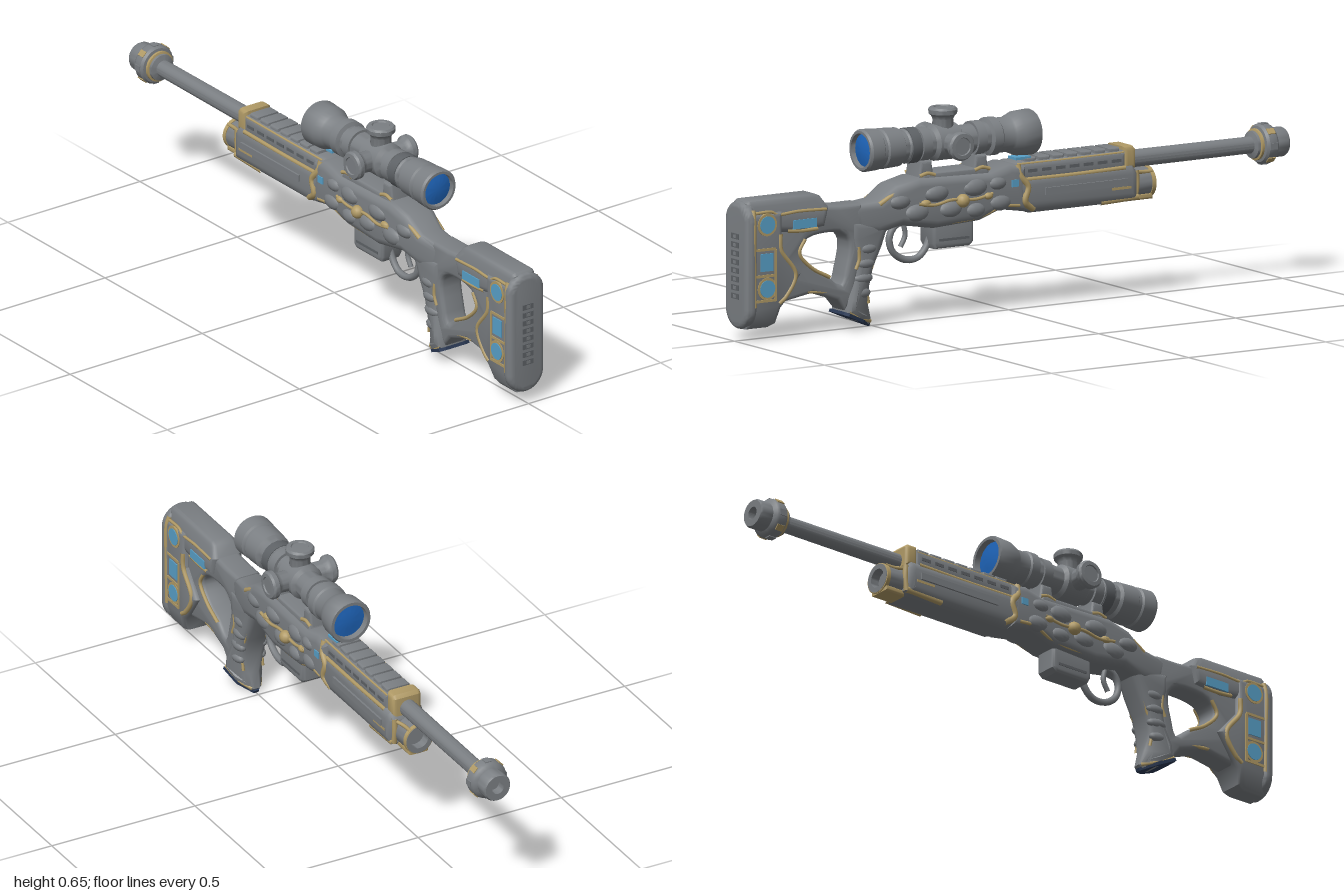
import * as THREE from 'three';
import { toCreasedNormals } from 'three/addons/utils/BufferGeometryUtils.js';

const mat = (name, color) => Object.assign(new THREE.MeshStandardMaterial({ color }), { name });

export function createModel() {
  const g = new THREE.Group();
  g.name = 'scopedRifle';
  const grey = mat('gunmetal', 0x7b7f83), dark = mat('darkMetal', 0x5e6266), gold = mat('wornBrass', 0xb09a66);
  const blue = mat('panelBlue', 0x58a0c8), lens = mat('lensBlue', 0x1f66bc), navy = mat('navy', 0x2b3a55);

  const add = (name, geo, m) => {
    const mesh = new THREE.Mesh(geo, m);
    mesh.name = name;
    g.add(mesh);
    return mesh;
  };
  const shapeOf = pts => new THREE.Shape(pts.map(p => new THREE.Vector2(...p)));
  // side outline extruded symmetrically in z with rounded edges; rule(x, y) scales the width
  const slab = (name, m, pts, hw, bevel = 0.012, rule = null, hole = null) => {
    const s = shapeOf(pts);
    if (hole) s.holes.push(new THREE.Path(new THREE.CatmullRomCurve3(hole.map(p => new THREE.Vector3(...p, 0)), true).getPoints(28).slice(0, -1).map(v => new THREE.Vector2(v.x, v.y))));
    const geo = new THREE.ExtrudeGeometry(s, { depth: 2 * (hw - bevel), bevelThickness: bevel, bevelSize: bevel, bevelOffset: -bevel, bevelSegments: 3 });
    geo.translate(0, 0, bevel - hw);
    const p = geo.attributes.position;
    if (rule) for (let i = 0; i < p.count; i++) p.setZ(i, p.getZ(i) * rule(p.getX(i), p.getY(i)));
    return add(name, toCreasedNormals(geo, 0.7), m);
  };
  // turned part along x from [x, radius] pairs
  const turned = (name, m, pts, y, sides = 28) => {
    const geo = new THREE.LatheGeometry(pts.map(([x, r]) => new THREE.Vector2(r, x)), sides);
    geo.rotateZ(-Math.PI / 2);
    return add(name, toCreasedNormals(geo, 0.6).translate(0, y, 0), m);
  };
  const box = (name, m, w, h, d, x, y, z = 0) => add(name, new THREE.BoxGeometry(w, h, d).translate(x, y, z), m);
  const tube = (name, m, pts, r, closed = false) => add(name, new THREE.TubeGeometry(
    new THREE.CatmullRomCurve3(pts.map(p => new THREE.Vector3(...p)), closed, 'centripetal'), 40, r, 8, closed), m);
  // worn edge on both sides; a point may carry its own z
  const trim = (name, pts, z, r = 0.006) => {
    for (const s of [1, -1]) tube(name, gold, pts.map(([x, y, own = z]) => [x, y, s * own]), r);
  };
  const plate = (name, m, w, h, x, y, z) => {
    for (const s of [1, -1]) box(name, m, w, h, 0.008, x, y, s * z);
  };
  const disc = (name, m, r, x, y, z) => {
    for (const s of [1, -1]) add(name, new THREE.CylinderGeometry(r, r, 0.008, 20).rotateX(Math.PI / 2).translate(x, y, s * z), m);
  };
  const bump = (name, m, x, y, z, rx, ry, rz) => {
    for (const s of [1, -1]) add(name, new THREE.SphereGeometry(1, 14, 10).scale(rx, ry, rz).translate(x, y, s * z), m);
  };

  // barrel and muzzle brake
  turned('barrel', grey, [[-0.93, 0.026], [-0.5, 0.027], [0, 0.028]], 0.427, 20);
  turned('muzzle', grey, [[-0.97, 0], [-0.97, 0.02], [-1, 0.02], [-1, 0.042], [-0.993, 0.046], [-0.955, 0.046], [-0.948, 0.058],
    [-0.94, 0.062], [-0.915, 0.062], [-0.907, 0.056], [-0.905, 0.044], [-0.885, 0.042], [-0.88, 0.026]], 0.427);
  turned('muzzleRing', gold, [[-0.905, 0.044], [-0.903, 0.049], [-0.895, 0.049], [-0.893, 0.042]], 0.427);
  for (let i = 0; i < 8; i++) {
    const a = i * Math.PI / 4;
    const lug = box('muzzleLug', i % 2 ? gold : grey, 0.026, 0.02, 0.008, 0, 0);
    lug.rotation.x = a + Math.PI / 2;
    lug.rotation.x = a;
    lug.geometry.rotateX(Math.PI / 2);
    lug.position.set(-0.928, 0.427 + Math.cos(a) * 0.06, Math.sin(a) * 0.06);
  }

  // lower handguard with the tube under the barrel
  turned('lowerTube', grey, [[-0.48, 0], [-0.48, 0.03], [-0.51, 0.03], [-0.51, 0.046], [-0.42, 0.047]], 0.352);
  turned('lowerTubeRim', gold, [[-0.509, 0.046], [-0.508, 0.049], [-0.495, 0.049], [-0.495, 0.046]], 0.352);
  slab('lowerTubeKeel', gold, [[-0.505, 0.302], [-0.43, 0.302], [-0.43, 0.322], [-0.505, 0.322]], 0.036, 0.008);
  slab('lowerHandguard', grey, [[-0.44, 0.395], [-0.44, 0.315], [-0.425, 0.303], [-0.05, 0.303], [0, 0.32], [0.02, 0.42], [-0.42, 0.42]], 0.064, 0.03);
  plate('handguardRib', grey, 0.3, 0.022, -0.24, 0.37, 0.066);
  plate('handguardWear', gold, 0.07, 0.008, -0.37, 0.352, 0.061);
  trim('tubeUpperEdge', [[-0.505, 0.388, 0.03], [-0.47, 0.388, 0.031], [-0.43, 0.392, 0.044]], 0.03, 0.006);
  trim('handguardLowerEdge', [[-0.437, 0.318], [-0.38, 0.316], [-0.3, 0.313]], 0.05, 0.01);
  trim('handguardFrontEdge', [[-0.435, 0.4], [-0.437, 0.36], [-0.432, 0.315]], 0.046, 0.009);
  trim('handguardRearBand', [[0.0, 0.458, 0.047], [-0.005, 0.425, 0.056], [-0.03, 0.39], [-0.02, 0.345], [-0.055, 0.318, 0.052]], 0.06, 0.011);

  // upper handguard and ribbed rail
  slab('upperHandguard', grey, [[-0.4, 0.4], [0.02, 0.4], [0.02, 0.455], [0, 0.465], [-0.4, 0.465]], 0.052, 0.02);
  slab('handguardCap', gold, [[-0.435, 0.405], [-0.39, 0.405], [-0.39, 0.476], [-0.425, 0.476], [-0.435, 0.465]], 0.05, 0.014);
  for (let i = 0; i < 7; i++) {
    slab('railSegment', grey, [[0, 0], [0.042, 0], [0.042, 0.03], [0, 0.03]], 0.04, 0.006).position.set(-0.38 + i * 0.051, 0.444, 0);
    plate('railSideSlot', dark, 0.034, 0.01, -0.359 + i * 0.051, 0.436, 0.05);
  }
  trim('railEdge', [[-0.39, 0.412], [-0.2, 0.409], [0, 0.41]], 0.053, 0.007);
  trim('railUpperEdge', [[-0.39, 0.458], [-0.2, 0.457], [0, 0.458]], 0.044, 0.004);

  // receiver
  slab('receiver', grey, [[-0.03, 0.31], [0.06, 0.325], [0.14, 0.298], [0.3, 0.29], [0.42, 0.31], [0.5, 0.29], [0.58, 0.3], [0.6, 0.385],
    [0.5, 0.395], [0.44, 0.435], [0.36, 0.452], [0.1, 0.445], [0.03, 0.465], [-0.03, 0.455]], 0.064, 0.026,
    x => 1 - 0.35 * THREE.MathUtils.smoothstep(x, 0.35, 0.62));
  box('receiverTopPanel', blue, 0.055, 0.008, 0.045, -0.03, 0.474, -0.015);
  plate('receiverPanel', blue, 0.025, 0.022, 0.018, 0.405, 0.063);
  for (const [x, y, r] of [[0.07, 0.35, 0.024], [0.16, 0.335, 0.022], [0.16, 0.405, 0.026], [0.25, 0.345, 0.024],
    [0.3, 0.4, 0.025], [0.37, 0.345, 0.026], [0.43, 0.385, 0.022], [0.08, 0.41, 0.02]])
    bump('receiverBoss', grey, x, y, 0.053 - Math.max(0, x - 0.3) * 0.05, r * 1.8, r * 1.1, 0.021);
  bump('receiverKnob', gold, 0.21, 0.37, 0.066, 0.022, 0.021, 0.02);
  bump('receiverRivet', gold, 0.115, 0.375, 0.062, 0.016, 0.011, 0.011);
  bump('receiverRivet', gold, 0.34, 0.373, 0.058, 0.018, 0.011, 0.011);
  trim('receiverTopEdge', [[0.02, 0.442], [0.1, 0.428], [0.22, 0.43], [0.36, 0.432], [0.44, 0.413, 0.047], [0.5, 0.382, 0.043]], 0.052, 0.008);
  trim('receiverLowerEdge', [[0.0, 0.335, 0.06], [0.06, 0.338, 0.059], [0.14, 0.312], [0.28, 0.306], [0.36, 0.316]], 0.052, 0.006);
  trim('receiverMidEdge', [[0.1, 0.382], [0.16, 0.37], [0.25, 0.376], [0.31, 0.366], [0.37, 0.374]], 0.064, 0.005);

  // magazine, trigger and guard
  slab('magazine', grey, [[0.15, 0.31], [0.15, 0.235], [0.165, 0.222], [0.29, 0.222], [0.3, 0.24], [0.3, 0.31]], 0.04, 0.012);
  plate('magazineRib', dark, 0.11, 0.008, 0.225, 0.25, 0.038);
  tube('triggerGuard', grey, [[0.29, 0.29], [0.295, 0.24], [0.33, 0.198], [0.38, 0.195], [0.425, 0.225], [0.435, 0.27], [0.41, 0.305], [0.33, 0.308]], 0.011, true);
  tube('trigger', grey, [[0.385, 0.31], [0.378, 0.27], [0.395, 0.235]], 0.008);

  // pistol grip
  slab('grip', grey, [[0.45, 0.33], [0.47, 0.29], [0.485, 0.25], [0.515, 0.19], [0.53, 0.13], [0.522, 0.07], [0.508, 0.02], [0.52, 0.008],
    [0.57, 0.026], [0.62, 0.055], [0.615, 0.1], [0.595, 0.16], [0.583, 0.22], [0.6, 0.28], [0.6, 0.34]], 0.05, 0.024,
    (x, y) => y < 0.1 ? THREE.MathUtils.lerp(0.35, 1.15, THREE.MathUtils.smoothstep(x, 0.5, 0.59)) : 0.95);
  for (let i = 0; i < 4; i++) bump('gripSwell', grey, 0.54 + i * 0.008, 0.25 - i * 0.045, 0.036, 0.035, 0.018, 0.018);
  trim('gripEdge', [[0.495, 0.25], [0.522, 0.19], [0.54, 0.13], [0.533, 0.08]], 0.034, 0.005);
  trim('gripFootEdge', [[0.515, 0.02, 0.012], [0.56, 0.034, 0.036], [0.615, 0.06, 0.048]], 0.04, 0.007);
  trim('gripRearEdge', [[0.585, 0.19], [0.573, 0.22], [0.575, 0.26]], 0.042, 0.006);
  const foot = new THREE.ExtrudeGeometry(shapeOf([[0, -0.008], [0, 0.008], [0.05, 0.044], [0.115, 0.057], [0.122, 0.035], [0.122, -0.035], [0.115, -0.057], [0.05, -0.044]]),
    { depth: 0.01, bevelEnabled: false });
  foot.rotateX(Math.PI / 2).rotateZ(0.42).translate(0.51, 0.011, 0);
  add('gripFoot', foot, navy);

  // skeleton stock
  const opening = [[0.605, 0.275], [0.63, 0.305], [0.69, 0.312], [0.76, 0.298], [0.782, 0.262], [0.745, 0.215], [0.69, 0.185], [0.635, 0.145], [0.618, 0.19]];
  slab('stockFrame', grey, [[0.55, 0.3], [0.565, 0.2], [0.59, 0.11], [0.62, 0.065], [0.65, 0.1], [0.74, 0.13], [0.86, 0.11], [0.89, 0.2],
    [0.89, 0.39], [0.72, 0.4], [0.64, 0.392], [0.56, 0.392]], 0.042, 0.014, null, opening);
  slab('cheekRest', grey, [[0.685, 0.395], [0.7, 0.335], [0.8, 0.325], [0.9, 0.335], [0.98, 0.36], [0.98, 0.43], [0.97, 0.438], [0.73, 0.438], [0.71, 0.43]], 0.055, 0.02,
    (x, y) => y > 0.405 ? 0.8 : 1);
  slab('buttBody', grey, [[0.79, 0.2], [0.845, 0.12], [0.865, 0.1], [0.875, 0.05], [0.9, 0.04], [0.98, 0.04], [0.98, 0.1], [0.98, 0.4], [0.86, 0.4], [0.86, 0.28]], 0.06, 0.016,
    (x, y) => THREE.MathUtils.lerp(0.62, 1, THREE.MathUtils.smoothstep(y, 0.03, 0.1)));
  trim('openingEdge', [[0.77, 0.302], [0.79, 0.26], [0.745, 0.21], [0.68, 0.175]], 0.041, 0.006);
  trim('strutLowerEdge', [[0.645, 0.115], [0.7, 0.13], [0.76, 0.137]], 0.036, 0.006);
  trim('cheekEdge', [[0.7, 0.39], [0.8, 0.393], [0.88, 0.39], [0.9, 0.4], [0.96, 0.4]], 0.053, 0.005);
  trim('buttFrontEdge', [[0.87, 0.33], [0.868, 0.28], [0.815, 0.2], [0.85, 0.135], [0.875, 0.115]], 0.056, 0.008);
  trim('buttRearEdge', [[0.965, 0.41, 0.05], [0.968, 0.38], [0.968, 0.25], [0.966, 0.11]], 0.058, 0.008);
  trim('stockPanelEdge', [[0.73, 0.332], [0.79, 0.331], [0.84, 0.335]], 0.049, 0.006);
  plate('stockPanel', blue, 0.085, 0.028, 0.78, 0.353, 0.054);

  // round and square butt panels in a worn border
  plate('buttPanelBorder', gold, 0.008, 0.16, 0.89, 0.205, 0.059);
  for (const y of [0.287, 0.205, 0.128]) plate('buttPanelBar', gold, 0.07, 0.008, 0.925, y, 0.059);
  plate('buttPanel', blue, 0.046, 0.055, 0.922, 0.247, 0.059);
  for (const y of [0.363, 0.165]) {
    disc('buttPanelRing', gold, 0.035, 0.92, y, 0.058);
    disc('buttPanel', blue, 0.027, 0.92, y, 0.06);
  }

  // recoil pad, outlined in z and y
  const padShape = new THREE.Shape();
  padShape.absellipse(0, 0.372, 0.066, 0.062, 0, Math.PI);
  padShape.absellipse(0, 0.105, 0.066, 0.066, Math.PI, Math.PI * 2);
  const pad = new THREE.ExtrudeGeometry(padShape, { depth: 0.012, bevelThickness: 0.014, bevelSize: 0.018, bevelOffset: -0.018, bevelSegments: 4 });
  add('recoilPad', toCreasedNormals(pad.rotateY(Math.PI / 2).translate(0.97, 0, 0), 0.9), grey);
  for (let i = 0; i < 8; i++) {
    box('padSlot', dark, 0.006, 0.017, 0.04, 0.996, 0.327 - i * 0.0265);
    box('padStud', grey, 0.008, 0.01, 0.014, 0.996, 0.327 - i * 0.0265);
  }

  // scope mount
  slab('mountBase', grey, [[0.095, 0.43], [0.35, 0.43], [0.34, 0.462], [0.105, 0.462]], 0.046, 0.008);
  for (const x of [0.125, 0.325]) {
    slab('mountFoot', grey, [[-0.027, 0.45], [0.027, 0.45], [0.02, 0.5], [-0.02, 0.5]], 0.04, 0.008).position.x = x;
    turned('mountRing', grey, [[x - 0.016, 0.04], [x - 0.016, 0.053], [x + 0.016, 0.053], [x + 0.016, 0.04]], 0.547);
    trim('mountFootEdge', [[x - 0.028, 0.455], [x, 0.462], [x + 0.028, 0.455]], 0.042, 0.006);
  }

  // scope body, lenses and turrets
  const sy = 0.547;
  turned('scopeBody', grey, [[-0.06, 0], [-0.06, 0.056], [-0.08, 0.058], [-0.08, 0.068], [-0.074, 0.071], [-0.02, 0.068], [0.005, 0.058], [0.012, 0.054],
    [0.05, 0.054], [0.055, 0.059], [0.085, 0.059], [0.09, 0.046], [0.19, 0.044], [0.2, 0.056], [0.28, 0.056], [0.29, 0.044], [0.34, 0.044],
    [0.345, 0.053], [0.385, 0.053], [0.39, 0.049], [0.405, 0.05], [0.412, 0.06], [0.47, 0.063], [0.475, 0.058], [0.485, 0.058], [0.49, 0.064],
    [0.534, 0.066], [0.541, 0.061], [0.541, 0.053], [0.525, 0.051], [0.525, 0]], sy, 32);
  turned('focusRing', dark, [[0.348, 0.052], [0.348, 0.056], [0.382, 0.056], [0.382, 0.052]], sy, 16);
  turned('objectiveLens', lens, [[-0.068, 0], [-0.064, 0.03], [-0.061, 0.056]], sy);
  turned('eyepieceLens', lens, [[0.526, 0.051], [0.531, 0.03], [0.534, 0]], sy);
  const knob = [[0, 0.034], [0.075, 0.032], [0.086, 0.037], [0.092, 0.044], [0.106, 0.045], [0.113, 0.04], [0.114, 0.028], [0.11, 0.026], [0.11, 0]];
  for (const [name, angle, k] of [['leftTurret', Math.PI / 2, 1], ['rightTurret', -Math.PI / 2, 1], ['topTurret', 0, 0.95]]) {
    const geo = new THREE.LatheGeometry(knob.map(([h, r]) => new THREE.Vector2(r, h * k)), 28);
    add(name, toCreasedNormals(geo, 0.6).rotateX(angle).translate(0.24, sy, 0), grey);
  }
  return g;
}
